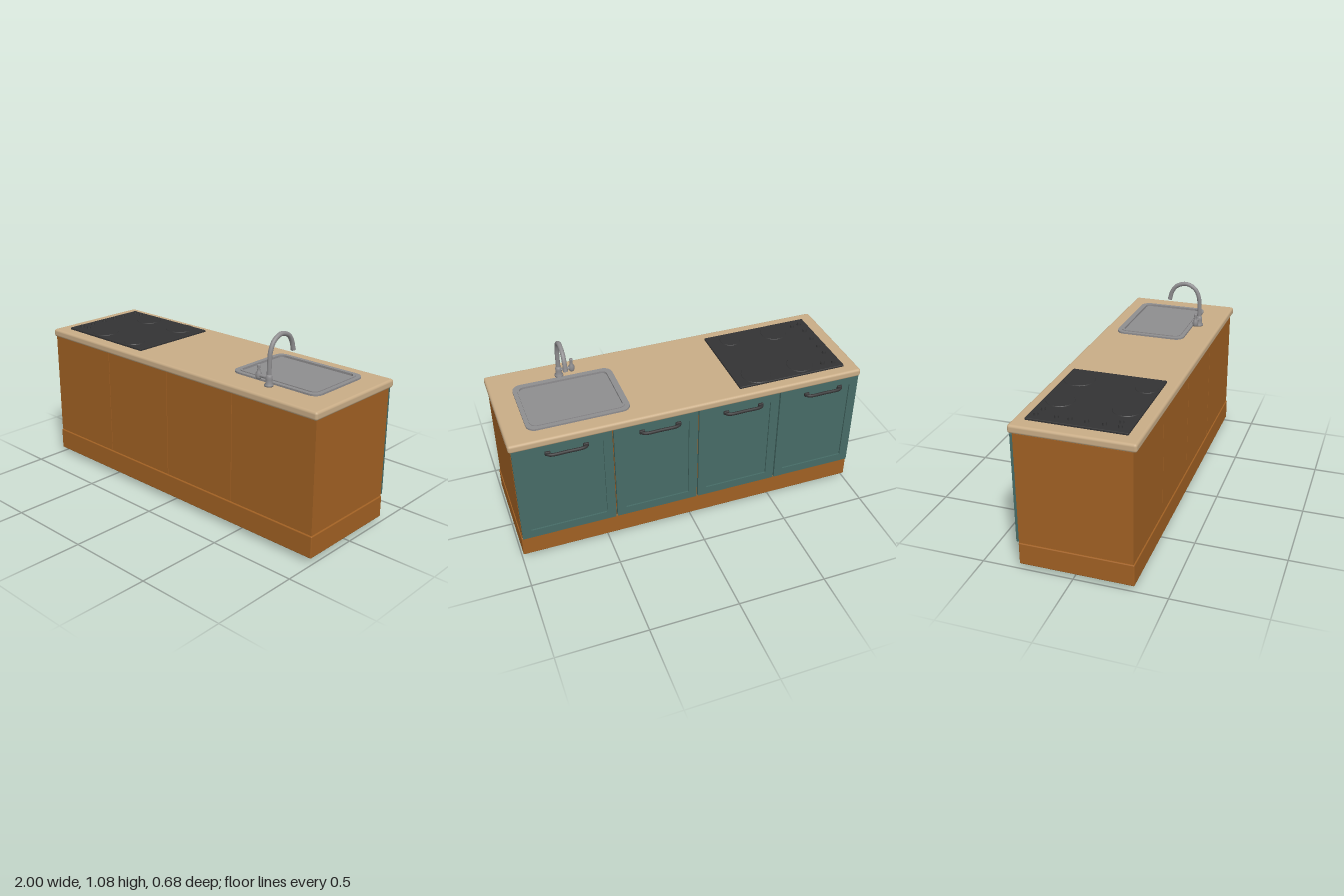
import * as THREE from 'three';
import { RoundedBoxGeometry } from 'three/addons/geometries/RoundedBoxGeometry.js';

const paint = (name, color) => {
  const m = new THREE.MeshStandardMaterial({ color });
  m.name = name;
  return m;
};

export function createModel() {
  const wood = paint('orange wood', 0xa06023);
  const stone = paint('beige worktop', 0xc8ac86);
  const teal = paint('teal door', 0x466b66);
  const steel = paint('steel', 0x8e8d8f);
  const black = paint('black', 0x333334);

  const model = new THREE.Group();
  model.name = 'kitchenCounter';

  const add = (name, geo, mat, x = 0, y = 0, z = 0, parent = model) => {
    const mesh = new THREE.Mesh(geo, mat);
    mesh.name = name;
    mesh.position.set(x, y, z);
    parent.add(mesh);
    return mesh;
  };
  // Box given by its minimum and maximum on each axis
  const block = (name, mat, x0, x1, y0, y1, z0, z1, r = 0) => {
    const s = [x1 - x0, y1 - y0, z1 - z0];
    const geo = r ? new RoundedBoxGeometry(...s, 3, r) : new THREE.BoxGeometry(...s);
    return add(name, geo, mat, (x0 + x1) / 2, (y0 + y1) / 2, (z0 + z1) / 2);
  };
  // Rounded rectangle centred on the origin
  const outline = (w, h, r, Type = THREE.Shape) => {
    const s = new Type();
    const a = w / 2, b = h / 2;
    s.moveTo(-a + r, -b);
    s.lineTo(a - r, -b);
    s.absarc(a - r, -b + r, r, -Math.PI / 2, 0);
    s.lineTo(a, b - r);
    s.absarc(a - r, b - r, r, 0, Math.PI / 2);
    s.lineTo(-a + r, b);
    s.absarc(-a + r, b - r, r, Math.PI / 2, Math.PI);
    s.lineTo(-a, -b + r);
    s.absarc(-a + r, -b + r, r, Math.PI, Math.PI * 1.5);
    return s;
  };
  const frame = (w, h, r, border, depth, ri) => {
    const s = outline(w, h, r);
    s.holes.push(outline(w - 2 * border, h - 2 * border, ri, THREE.Path));
    return new THREE.ExtrudeGeometry(s, { depth, bevelEnabled: false, curveSegments: 6 });
  };

  // Plinth, inner core and worktop
  block('plinth', wood, -1, 0.993, 0.03, 0.153, -0.292, 0.325, 0.005);
  block('carcassCore', wood, -0.985, 0.98, 0.14, 0.775, -0.28, 0.31);
  block('worktop', stone, -1, 1, 0.772, 0.818, -0.316, 0.337, 0.014);

  // Four cabinet units, each with a framed door and a bar handle at the back
  const edges = [-0.998, -0.51, -0.03, 0.45, 0.99];
  const handleX = [-0.775, -0.29, 0.19, 0.7];
  for (let i = 0; i < 4; i++) {
    const x0 = edges[i] + 0.002, x1 = edges[i + 1] - 0.002;
    const w = x1 - x0, cx = (x0 + x1) / 2;
    block('cabinet', wood, x0, x1, 0.156, 0.774, -0.29, 0.32);
    add('doorFrame', frame(w - 0.004, 0.612, 0.003, 0.05, 0.015, 0.003), teal, cx, 0.464, -0.305);
    block('doorPanel', teal, x0 + 0.04, x1 - 0.04, 0.19, 0.74, -0.296, -0.285);

    const path = new THREE.CatmullRomCurve3([
      [-0.105, -0.3], [-0.105, -0.318], [-0.09, -0.329], [0, -0.331],
      [0.09, -0.329], [0.105, -0.318], [0.105, -0.3],
    ].map(([x, z]) => new THREE.Vector3(x, 0, z)));
    const handle = new THREE.Group();
    handle.name = 'doorHandle';
    handle.position.set(handleX[i], 0.722, 0);
    model.add(handle);
    add('handleBar', new THREE.TubeGeometry(path, 32, 0.009, 10), black, 0, 0, 0, handle);
    for (const s of [-1, 1]) {
      add('handleMount', new RoundedBoxGeometry(0.03, 0.022, 0.014, 2, 0.004), black,
        s * 0.102, 0, -0.31, handle);
    }
  }

  // Feet
  for (const x of [-0.87, 0.845]) for (const z of [-0.187, 0.238]) {
    add('foot', new THREE.CylinderGeometry(0.02, 0.016, 0.032, 16), black, x, 0.016, z);
  }

  // Hob with burner plates and knobs
  block('hob', black, -0.922, -0.288, 0.81, 0.829, -0.256, 0.27, 0.004);
  for (const [x, z, r] of [[-0.69, -0.165, 0.075], [-0.42, -0.17, 0.085],
    [-0.42, 0.2, 0.06], [-0.69, 0.185, 0.075]]) {
    add('burner', new THREE.CylinderGeometry(r - 0.003, r, 0.004, 32), black, x, 0.83, z);
  }
  for (const [x, z] of [[-0.875, -0.215], [-0.872, -0.11], [-0.872, -0.04], [-0.872, 0.045],
    [-0.872, 0.135], [-0.875, 0.215], [-0.812, -0.205], [-0.825, 0.205]]) {
    add('hobKnob', new THREE.CylinderGeometry(0.01, 0.013, 0.016, 14), black, x, 0.834, z);
  }

  // Sink: flat flange, raised inner lip and basin floor
  const sink = new THREE.Group();
  sink.name = 'sink';
  sink.position.set(0.598, 0, -0.025);
  model.add(sink);
  const lay = (name, geo, y) => {
    add(name, geo, steel, 0, y, 0, sink).rotation.x = -Math.PI / 2;
  };
  lay('sinkFlange', frame(0.56, 0.41, 0.05, 0.027, 0.011, 0.035), 0.817);
  lay('sinkLip', frame(0.514, 0.364, 0.038, 0.012, 0.016, 0.028), 0.817);
  lay('basinFloor', new THREE.ShapeGeometry(outline(0.5, 0.35, 0.03), 6), 0.821);

  // Tap: base, curved spout and side lever
  const tap = new THREE.Group();
  tap.name = 'tap';
  tap.position.set(0.602, 0.818, 0);
  model.add(tap);
  const base = [[0, 0], [0.024, 0], [0.024, 0.008], [0.018, 0.014], [0.017, 0.035],
    [0.018, 0.046], [0.014, 0.06], [0.0, 0.066]].map(p => new THREE.Vector2(...p));
  add('tapBase', new THREE.LatheGeometry(base, 20), steel, 0, 0, 0.21, tap);
  const spout = new THREE.CatmullRomCurve3([
    [0.04, 0.21], [0.12, 0.209], [0.18, 0.203], [0.228, 0.178], [0.254, 0.125],
    [0.236, 0.065], [0.2, 0.037], [0.15, 0.023],
  ].map(([y, z]) => new THREE.Vector3(0, y, z)));
  add('spout', new THREE.TubeGeometry(spout, 48, 0.0125, 14), steel, 0, 0, 0, tap);
  const tip = add('spoutTip', new THREE.CylinderGeometry(0.0128, 0.0135, 0.018, 14), steel,
    0, 0.157, 0.024, tap);
  tip.rotation.x = 0.25;
  add('leverArm', new THREE.CylinderGeometry(0.009, 0.009, 0.075, 12), steel,
    -0.037, 0.04, 0.205, tap).rotation.z = Math.PI / 2;
  const lever = [[0, 0.018], [0.012, 0.02], [0.016, 0.03], [0.016, 0.05], [0.01, 0.058],
    [0.007, 0.075], [0.01, 0.09], [0.008, 0.097], [0, 0.098]].map(p => new THREE.Vector2(...p));
  add('lever', new THREE.LatheGeometry(lever, 14), steel, -0.073, 0, 0.205, tap);

  return model;
}
